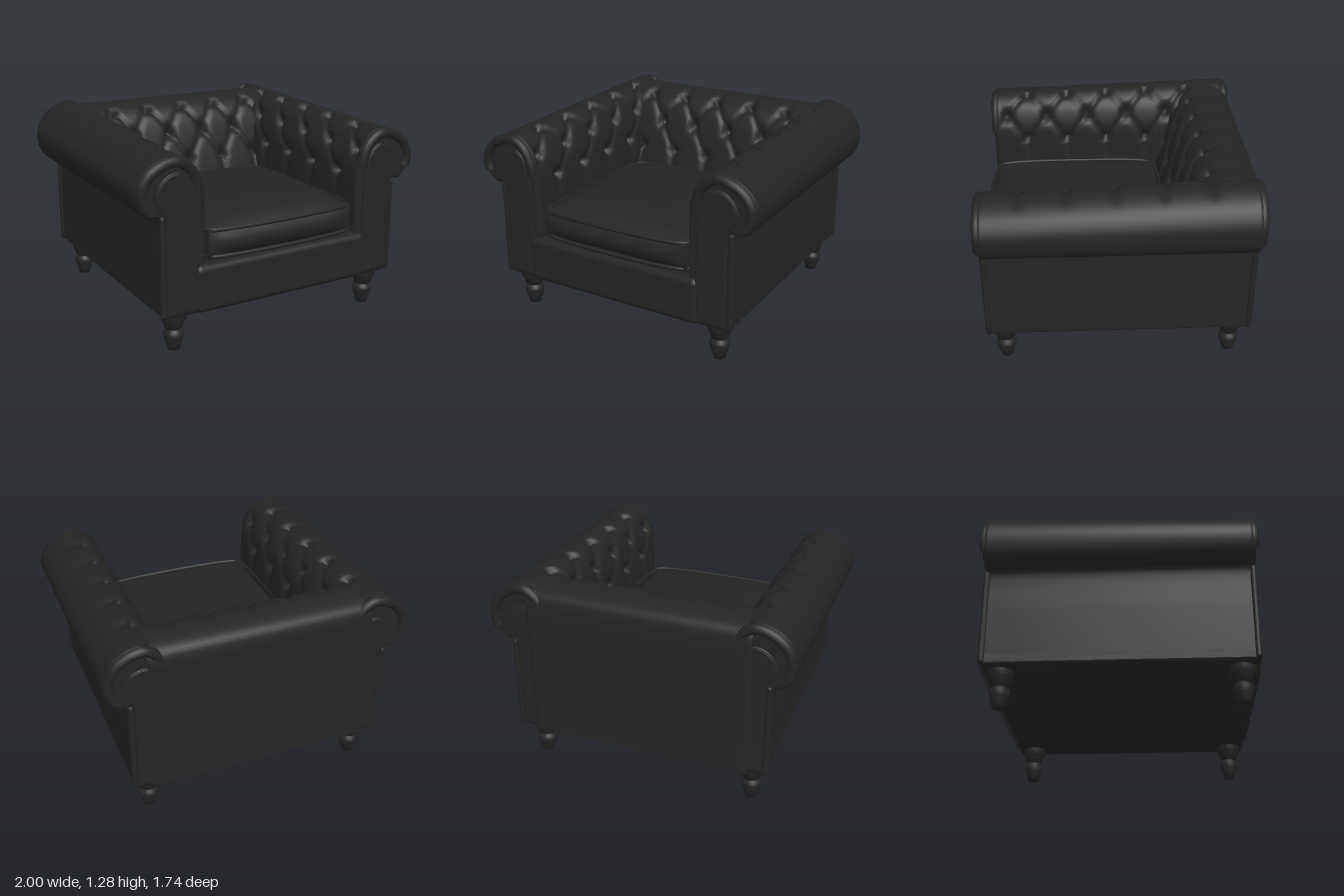
import * as THREE from 'three';
import { RoundedBoxGeometry } from 'three/addons/geometries/RoundedBoxGeometry.js';

const leather = new THREE.MeshStandardMaterial({ color: 0x242424, side: THREE.DoubleSide });
leather.name = 'black leather';

const V = (x, y, z = 0) => new THREE.Vector3(x, y, z);
const spline = (pts) => new THREE.CatmullRomCurve3(pts.map(([a, b]) => V(a, b)));
const near = (a) => a - Math.round(a); // signed distance to nearest integer
const bell = (a, w) => Math.exp(-((a / w) ** 2));
const step = THREE.MathUtils.smoothstep;

// Cross-sections as (outward, up), from the inner foot over the roll to the outer foot
const armProfile = spline([
  [0.56, 0.26], [0.56, 0.6], [0.56, 0.9], [0.58, 1.08], [0.63, 1.19], [0.72, 1.255], [0.82, 1.25],
  [0.93, 1.19], [0.99, 1.1], [1.0, 1.02], [0.965, 0.92], [0.9, 0.88], [0.86, 0.89], [0.845, 0.86],
  [0.845, 0.6], [0.845, 0.26],
]);
const backProfile = spline([
  [0.3, 0.5], [0.34, 0.75], [0.4, 0.95], [0.46, 1.12], [0.53, 1.22], [0.64, 1.275], [0.75, 1.27],
  [0.84, 1.23], [0.866, 1.17], [0.866, 0.9], [0.866, 0.25],
]);

// The arms rise gently towards the back
const lift = (y, z) => y - 0.033 * z * Math.max(0, (y - 0.9) / 0.36);

// Point on a profile moved along its outward normal
function offsetPoint(curve, u, d) {
  const p = curve.getPointAt(u), t = curve.getTangentAt(u);
  return V(p.x - t.y * d, p.y + t.x * d);
}

// Depth of the diamond tufting: buttons in staggered rows, creases between, pleats beyond
function tufting(s, t, { s0, gap, pitch, shift }) {
  const w = (s - s0) / (2 * gap), x = (t - shift) / pitch;
  const fa = near(x + w), fb = near(x - w);
  const inside = step(w, -0.06, 0.02) * (1 - step(w, 0.98, 1.06));
  const diamonds = 0.045 * Math.exp(-(fa * fa + fb * fb) / 0.03) + 0.014 * (bell(fa, 0.09) + bell(fb, 0.09));
  const pleat = 0.02 * bell(near(x), 0.11);
  const fade = w < 0.5 ? step(w, -0.5, -0.05) : 1 - step(w, 1.05, 1.5);
  return inside * diamonds + (1 - inside) * fade * pleat;
}

// Tufted surface swept along a straight line; place() maps (outward, up, along) to space
function tuftedSurface(curve, half, round, tuft, place, flip) {
  const NU = 110, NV = 100, pos = [], idx = [], len = curve.getLength();
  for (let i = 0; i <= NU; i++) {
    for (let j = 0; j <= NV; j++) {
      const t = half * (2 * j / NV - 1);
      const k = Math.max(0, round - (half - Math.abs(t)));
      const edge = round - Math.sqrt(round * round - k * k);
      const calm = step(half - Math.abs(t), 0, 0.08);
      const p = offsetPoint(curve, i / NU, -edge - calm * tufting(i / NU * len, t, tuft));
      pos.push(...place(p.x, p.y, t));
      if (i < NU && j < NV) {
        const a = i * (NV + 1) + j, b = a + 1, c = a + NV + 1, d = c + 1;
        idx.push(...(flip ? [a, c, b, b, c, d] : [a, b, c, b, d, c]));
      }
    }
  }
  const g = new THREE.BufferGeometry();
  g.setAttribute('position', new THREE.Float32BufferAttribute(pos, 3));
  g.setIndex(idx);
  g.computeVertexNormals();
  return g;
}

function add(parent, name, geometry, x = 0, y = 0, z = 0) {
  const m = new THREE.Mesh(geometry, leather);
  m.name = name;
  m.position.set(x, y, z);
  parent.add(m);
  return m;
}

const tube = (pts, r, closed = false, n = 60) =>
  new THREE.TubeGeometry(new THREE.CatmullRomCurve3(pts, closed), n, r, 8, closed);

function buildArm(side) {
  const arm = new THREE.Group();
  arm.name = side > 0 ? 'leftArm' : 'rightArm';
  const tuft = { s0: 0.66, gap: 0.2, pitch: 0.29, shift: 0.03 };
  add(arm, 'armUpholstery', tuftedSurface(armProfile, 0.845, 0.02, tuft,
    (p, q, t) => [side * p, lift(q, t), t], side < 0));

  for (const end of [1, -1]) {
    const z = end * 0.842;
    // Flat end closing the roll
    const outline = [];
    for (let i = 0; i <= 90; i++) {
      const p = offsetPoint(armProfile, i / 90, -0.012);
      outline.push(new THREE.Vector2(side * p.x, lift(p.y, z)));
    }
    add(arm, 'armEnd', new THREE.ShapeGeometry(new THREE.Shape(outline)), 0, 0, z);

    // Padded rim around the scroll
    const rim = [];
    for (let i = 0; i <= 24; i++) {
      const p = offsetPoint(armProfile, 0.31 + 0.35 * i / 24, -0.034);
      rim.push(V(side * p.x, lift(p.y, z), end * 0.835));
    }
    add(arm, 'scrollRim', tube(rim, 0.034));

    // Facing panel with piping
    const facing = [
      [0.62, 0.27], [0.62, 0.6], [0.62, 0.9], [0.65, 1.06], [0.72, 1.13], [0.81, 1.12], [0.87, 1.05],
      [0.88, 0.97], [0.83, 0.91], [0.815, 0.84], [0.815, 0.6], [0.815, 0.27],
    ].map(([x, y]) => V(side * x, y));
    const path = new THREE.CatmullRomCurve3(facing).getPoints(60);
    const panel = new THREE.ExtrudeGeometry(new THREE.Shape(path.map((p) => new THREE.Vector2(p.x, p.y))),
      { depth: 0.01, bevelSize: 0.012, bevelThickness: 0.008, bevelOffset: -0.012, bevelSegments: 3 });
    add(arm, 'armFacing', panel, 0, 0, end * 0.844 - 0.005);
    add(arm, 'facingPiping', tube(facing, 0.009, false, 90), 0, 0, end * 0.846);

    // Rounded welt down the outer corner
    add(arm, 'cornerWelt', new THREE.CapsuleGeometry(0.02, 0.6, 4, 10), side * 0.841, 0.57, end * 0.834);
  }
  return arm;
}

function buildCushion() {
  const cushion = new THREE.Group();
  cushion.name = 'seatCushion';
  const hx = 0.53, hy = 0.085, hz = 0.565;
  const g = new THREE.BoxGeometry(2, 2, 2, 24, 8, 24), p = g.attributes.position;
  for (let i = 0; i < p.count; i++) {
    const x = p.getX(i), y = p.getY(i), z = p.getZ(i);
    const crown = y > 0 ? 0.07 * y * Math.sqrt((1 - x ** 4) * (1 - z ** 4)) : 0;
    const bulge = (1 - y * y) * 0.045;
    p.setXYZ(i, x * hx + x * bulge * 0.4 * (1 - z ** 6), y * hy + crown, z * hz + z * bulge * (1 - x ** 6));
  }
  g.computeVertexNormals();
  add(cushion, 'cushionPad', g);
  for (const y of [-hy, hy]) {
    const loop = [];
    for (const [sx, sz] of [[1, 1], [-1, 1], [-1, -1], [1, -1]]) {
      const a = V(sx * hx, y, sz * (hz - 0.04)), b = V(sx * (hx - 0.04), y, sz * hz);
      loop.push(...(sx * sz > 0 ? [a, b] : [b, a]));
    }
    add(cushion, 'cushionPiping', tube(loop, 0.014, true, 120));
  }
  cushion.position.set(0, 0.66, 0.255);
  return cushion;
}

export function createModel() {
  const chair = new THREE.Group();
  chair.name = 'tuftedArmchair';

  // Base, front rail and its seams
  add(chair, 'base', new RoundedBoxGeometry(1.69, 0.1, 1.69, 4, 0.03), 0, 0.29, 0);
  add(chair, 'seatDeck', new THREE.BoxGeometry(1.2, 0.28, 1.6), 0, 0.42, 0);
  add(chair, 'frontRail', new RoundedBoxGeometry(1.27, 0.31, 0.2, 5, 0.045), 0, 0.395, 0.77);
  for (const x of [-0.235, 0.2]) {
    add(chair, 'railSeam', new THREE.BoxGeometry(0.006, 0.2, 0.006), x, 0.37, 0.869);
  }

  // Tufted back and arms
  add(chair, 'backrest', tuftedSurface(backProfile, 0.73, 0.01,
    { s0: 0.36, gap: 0.22, pitch: 0.27, shift: 0 }, (p, q, t) => [t, q, -p], false));
  for (const side of [1, -1]) chair.add(buildArm(side));

  chair.add(buildCushion());

  // Turned legs
  const legProfile = [
    [0, 0], [0.038, 0], [0.046, 0.03], [0.06, 0.07], [0.065, 0.1], [0.06, 0.12], [0.045, 0.132],
    [0.045, 0.14], [0.058, 0.148], [0.062, 0.17], [0.075, 0.195], [0.082, 0.22], [0.084, 0.26],
  ].map(([r, y]) => new THREE.Vector2(r, y));
  for (const x of [-0.73, 0.73]) {
    for (const z of [-0.73, 0.74]) add(chair, 'leg', new THREE.LatheGeometry(legProfile, 24), x, 0, z);
  }
  return chair;
}
